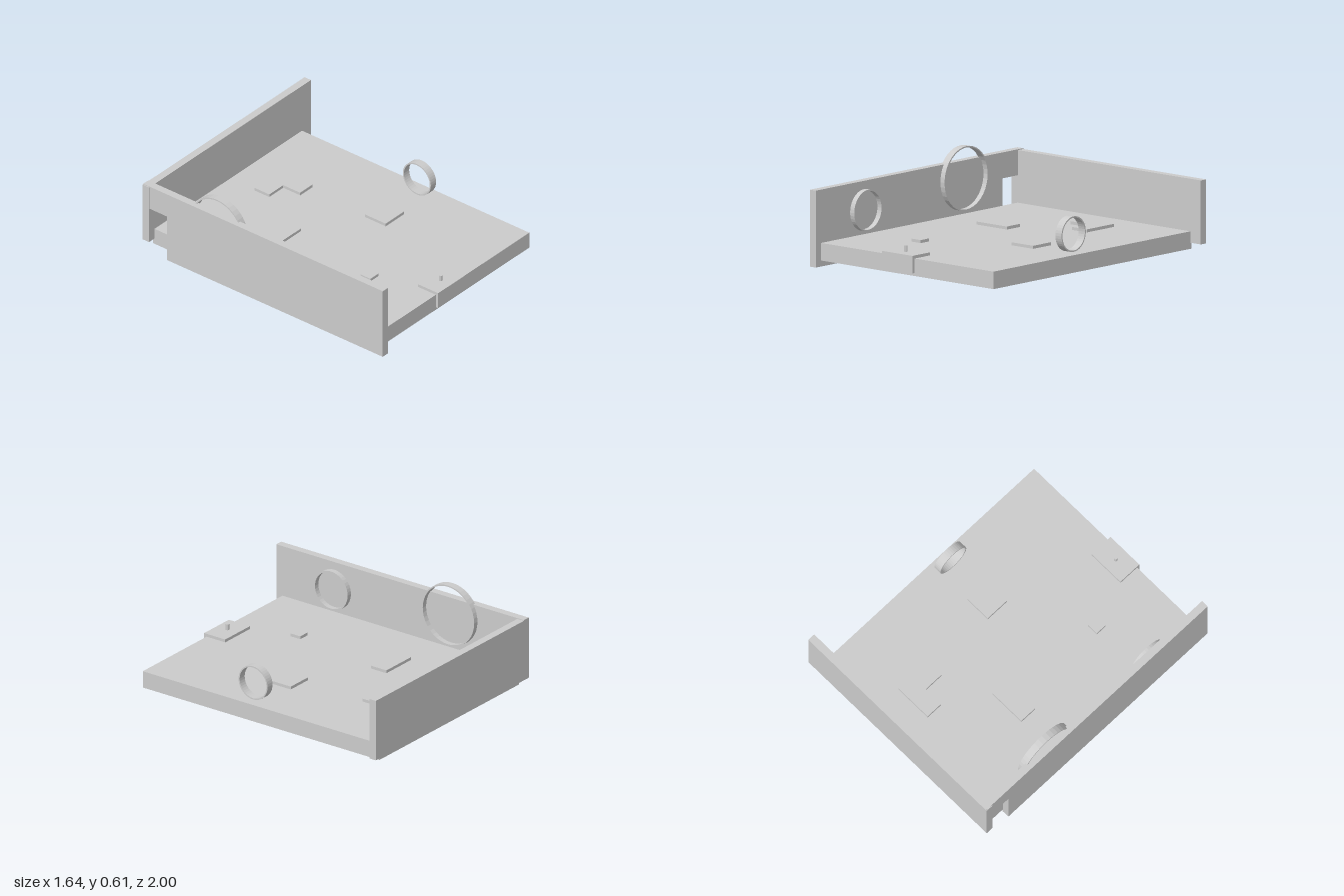
import * as THREE from 'three';

export function createModel() {
  const group = new THREE.Group();
  const mat = new THREE.MeshStandardMaterial({ color: 0xcccccc, flatShading: true });

  const add = (name, geo) => {
    const mesh = new THREE.Mesh(geo, mat);
    mesh.name = name;
    group.add(mesh);
    return mesh;
  };
  // Box given by its limits on each axis
  const box = (name, x0, x1, y0, y1, z0, z1) =>
    add(name, new THREE.BoxGeometry(x1 - x0, y1 - y0, z1 - z0)
      .translate((x0 + x1) / 2, (y0 + y1) / 2, (z0 + z1) / 2));
  const polygon = (pts) => new THREE.Shape(pts.map(([a, b]) => new THREE.Vector2(a, b)));
  const extrude = (shape, depth, curveSegments = 12) =>
    new THREE.ExtrudeGeometry(shape, { depth, bevelEnabled: false, curveSegments });

  const floorTop = 0.155, padTop = 0.175;

  // Floor slab and back wall
  box('floorSlab', -0.77, 0.73, 0.04, floorTop, -0.96, 0.95);
  box('backWall', -0.825, 0.82, 0.08, 0.5, -1, -0.947);

  // Side wall, notched at its lower rear corner; outline in (z, y)
  const side = polygon([[-0.8, 0], [1, 0], [1, 0.505], [-1, 0.505], [-1, 0.335], [-0.8, 0.335]]);
  add('sideWall', extrude(side, 0.052).rotateY(-Math.PI / 2).translate(-0.768, 0, 0));

  // Thin upright rings, axis along x
  const ring = (name, x0, x1, y, z, r) => {
    const shape = new THREE.Shape().absarc(0, 0, r, 0, Math.PI * 2);
    shape.holes.push(new THREE.Path().absarc(0, 0, r - 0.009, 0, Math.PI * 2, true));
    add(name, extrude(shape, x1 - x0, 20).rotateY(Math.PI / 2).translate(x0, y, z));
  };
  ring('largeRing', -0.783, -0.732, 0.393, -0.413, 0.212);
  ring('mediumRing', -0.78, -0.732, 0.315, 0.533, 0.136);
  ring('smallRing', 0.613, 0.667, 0.276, 0.107, 0.117);

  // Flat pads on the floor
  box('widePad', -0.455, -0.19, floorTop, padTop, -0.325, -0.2);
  box('middlePad', 0.2, 0.387, floorTop, padTop, 0.013, 0.187);
  box('smallPad', -0.366, -0.286, floorTop, padTop, 0.443, 0.524);
  const ell = polygon([[-0.01, 0.735], [-0.01, 0.613], [0.132, 0.613],
    [0.132, 0.472], [0.26, 0.472], [0.26, 0.735]]);
  add('cornerPad', extrude(ell, padTop - floorTop).rotateX(-Math.PI / 2).translate(0, floorTop, 0));

  // Front latch bracket folded over the edge, with its pin; outline in (z, y)
  const bracket = polygon([[0.8, floorTop], [0.95, floorTop], [0.95, 0.06],
    [0.97, 0.06], [0.97, padTop], [0.8, padTop]]);
  add('latchBracket', extrude(bracket, 0.265).rotateY(-Math.PI / 2).translate(0.045, 0, 0));
  add('latchPin', new THREE.CylinderGeometry(0.012, 0.012, 0.04, 20).translate(-0.09, padTop + 0.02, 0.884));

  return group;
}
